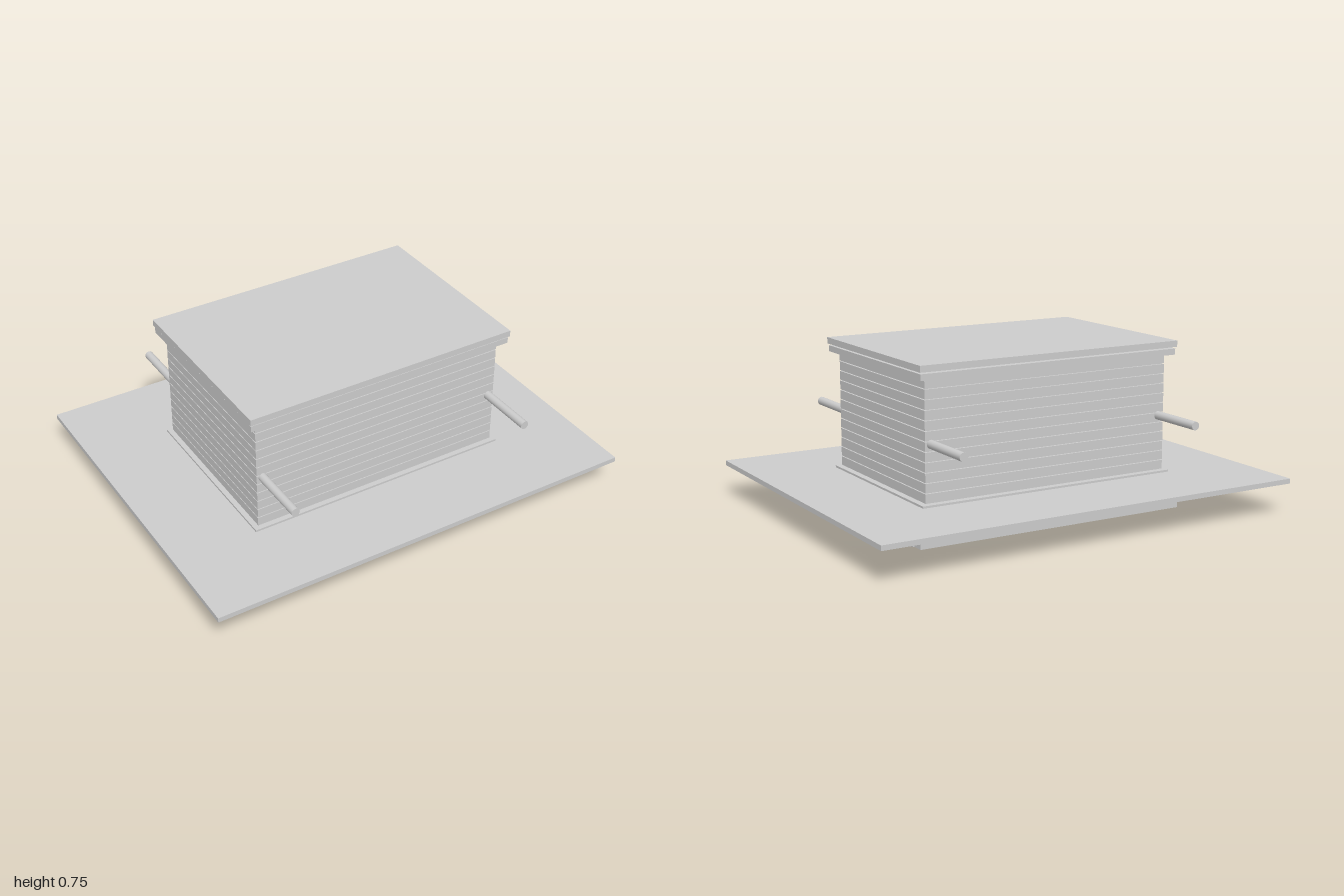
import * as THREE from 'three';

export function createModel() {
  const model = new THREE.Group();
  const material = new THREE.MeshStandardMaterial({ color: 0xcccccc });

  const add = (name, geometry, x, y, z, parent = model) => {
    const mesh = new THREE.Mesh(geometry, material);
    mesh.name = name;
    mesh.position.set(x, y, z);
    parent.add(mesh);
    return mesh;
  };
  // Centred slab given by its half sizes and its bottom and top heights
  const slab = (name, hx, hz, y0, y1, parent = model) =>
    add(name, new THREE.BoxGeometry(hx * 2, y1 - y0, hz * 2), 0, (y0 + y1) / 2, 0, parent);

  // Stepped base under the deck
  const base = new THREE.Group();
  base.name = 'base';
  model.add(base);
  slab('lowerStep', 0.65, 0.45, 0, 0.07, base);
  slab('upperStep', 0.63, 0.43, 0.07, 0.12, base);
  slab('baseCore', 0.6, 0.4, 0.12, 0.14, base);
  for (const sx of [-1, 1]) {
    for (const sz of [-1, 1]) {
      add('cornerBlock', new THREE.BoxGeometry(0.06, 0.139, 0.096), sx * 0.629, 0.0705, sz * 0.352, base);
    }
  }

  // Wide flat deck and the thin plinth on it
  slab('deck', 1, 0.8, 0.14, 0.162);
  slab('plinth', 0.62, 0.42, 0.162, 0.171);

  // Box walls: stacked boards with narrow grooves over a recessed core
  const walls = new THREE.Group();
  walls.name = 'walls';
  model.add(walls);
  slab('wallCore', 0.588, 0.388, 0.171, 0.727, walls);
  const courses = 12, bottom = 0.171, pitch = (0.692 - bottom) / courses, groove = 0.004;
  for (let i = 0; i < courses; i++) {
    const y = bottom + i * pitch;
    slab('wallBoard', 0.598, 0.4, y + groove, y + pitch, walls);
  }

  // Lid: collar, shadow gap and cap
  slab('lidCollar', 0.633, 0.433, 0.692, 0.719);
  slab('lidCap', 0.638, 0.44, 0.727, 0.755);

  // Carrying poles running through the box from front to back
  for (const sx of [-1, 1]) {
    const pole = add('carryingPole', new THREE.CylinderGeometry(0.019, 0.019, 1.34, 16), sx * 0.57, 0.421, 0);
    pole.rotation.x = Math.PI / 2;
  }

  return model;
}
